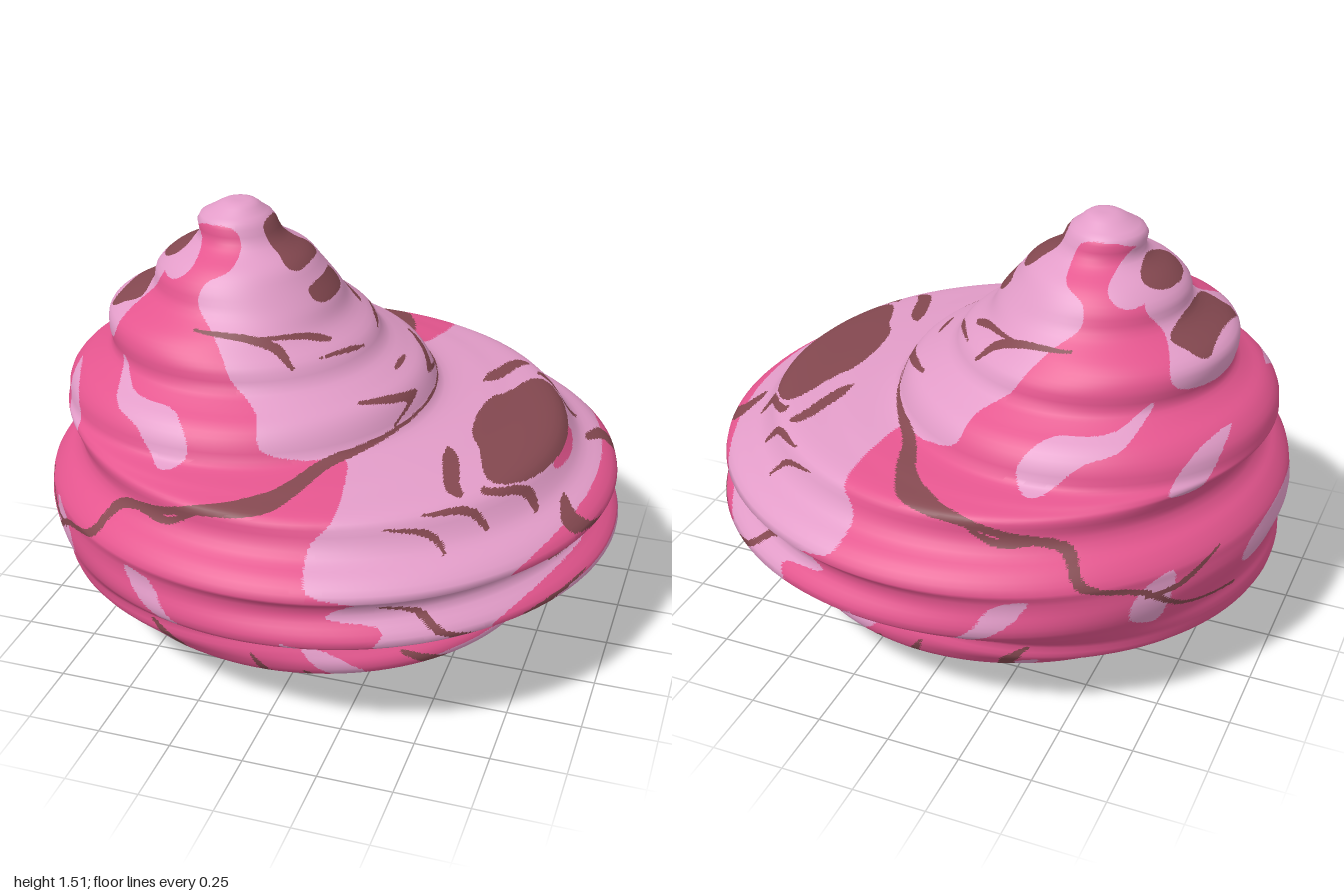
import * as THREE from 'three';

// Horizontal rings of the shell: height, left end and right end on the x axis
const RINGS = [
  [0, -.46, -.21], [.03, -.51, .13], [.065, -.57, .32], [.13, -.69, .6], [.2, -.81, .735],
  [.235, -.86, .73], [.29, -.96, .66], [.33, -.975, .63], [.36, -.975, .7], [.41, -.965, .89],
  [.46, -.975, .995], [.5, -.99, .96], [.54, -1, .91], [.575, -.995, .92], [.615, -.985, .98],
  [.66, -.95, .94], [.7, -.905, .85], [.74, -.885, .815], [.79, -.905, .775], [.825, -.94, .56],
  [.86, -.945, .345], [.9, -.94, .325], [.95, -.9, .29], [.99, -.83, .22], [1.03, -.79, .15],
  [1.08, -.8, .12], [1.14, -.79, .04], [1.22, -.645, -.01], [1.28, -.63, -.06], [1.33, -.58, -.1],
  [1.375, -.5, -.17], [1.4, -.48, -.2], [1.45, -.485, -.225], [1.48, -.44, -.26],
  [1.505, -.395, -.29], [1.508, -.343, -.342],
];

// Pale field over the spire and mouth side
const PALE_FIELD = [
  [-.6, 1.6], [-.5, 1.43], [-.42, 1.45], [-.31, 1.44], [-.29, 1.35], [-.37, 1.3], [-.38, 1.24],
  [-.3, 1.17], [-.24, 1.1], [-.2, 1.04], [-.1, .97], [-.07, .9], [.05, .86], [.17, .85],
  [.23, .81], [.17, .72], [.2, .64], [.34, .6], [.25, .54], [.42, .5], [.4, .44],
  [.58, .37], [.6, .3], [.8, .28], [1.1, .4], [1.1, 1.6],
];

// Pale flecks on the pink side
const PALE_FLECKS = [
  [[-.86, .95], [-.8, .93], [-.75, .82], [-.82, .81]],
  [[-.66, 1.32], [-.54, 1.33], [-.58, 1.24], [-.66, 1.16], [-.7, 1.08], [-.82, 1.05], [-.84, 1.15]],
  [[-.56, 1.45], [-.46, 1.42], [-.43, 1.34], [-.5, 1.29], [-.56, 1.31]],
  [[-.64, 1.05], [-.56, .99], [-.36, .97], [-.3, .9], [-.31, .85], [-.4, .84], [-.49, .92], [-.6, .96]],
  [[-.43, .58], [-.33, .56], [-.27, .48], [-.18, .41], [-.27, .43], [-.39, .51]],
  [[-.8, .61], [-.73, .57], [-.7, .46], [-.75, .41], [-.8, .52]],
  [[-1.02, .62], [-.97, .58], [-.95, .46], [-1.02, .48]],
  [[.12, .46], [.22, .43], [.42, .36], [.3, .36], [.17, .41]],
  [[.12, .3], [.2, .28], [.32, .2], [.22, .2]],
  [[.45, .3], [.8, .31], [.8, .275], [.55, .26]],
  [[.48, .21], [.74, .212], [.74, .195], [.56, .19]],
  [[-.42, .27], [-.36, .25], [-.3, .17], [-.38, .2]],
];

// Pink tongues inside the pale field
const PINK_TONGUES = [
  [[.76, .61], [.88, .665], [1.05, .665], [1.05, .62], [.9, .61]],
  [[.72, .46], [.85, .515], [1.05, .515], [1.05, .48], [.9, .465]],
  [[.79, .77], [.86, .75], [.88, .71], [.8, .745]],
];

// Brown patches: underside, shelf, lip and marks along the two ends
const BROWN_PATCHES = [
  [[-.6, -.1], [-.5, .05], [-.53, .12], [-.42, .07], [-.33, .14], [-.34, .24], [-.4, .33], [-.3, .26],
    [-.26, .14], [-.22, .07], [-.05, .09], [-.01, .17], [-.04, .28], [.02, .2], [.05, .08],
    [.15, .1], [.13, .22], [.2, .15], [.25, .09], [.4, .13], [.48, .19], [.41, .26],
    [.54, .2], [.58, .15], [.7, .18], [.8, .15], [.6, -.1]],
  [[.36, .9], [.38, .854], [.5, .832], [.6, .812], [.7, .787], [.74, .775], [.82, .765], [.82, .82], [.6, .88]],
  [[.83, .545], [.89, .595], [1, .6], [1, .55], [.9, .535]],
  [[.62, .332], [.68, .352], [.8, .38], [.74, .345], [.66, .325]],
  [[.82, .405], [.88, .43], [1, .455], [1, .43], [.9, .395]],
  [[-.237, 1.46], [-.218, 1.4], [-.17, 1.36], [-.1, 1.315], [-.08, 1.34], [-.2, 1.46]],
  [[-.065, 1.265], [-.03, 1.22], [0, 1.21], [0, 1.27]],
  [[-.49, 1.4], [-.5, 1.36], [-.58, 1.315], [-.63, 1.31], [-.58, 1.36]],
  [[-.73, 1.2], [-.65, 1.235], [-.63, 1.2], [-.7, 1.165], [-.76, 1.14]],
  [[.2, 1.02], [.225, .985], [.26, .99], [.24, 1.03]],
];

// Brown veins: half width followed by points along the line
const VEINS = [
  [.014, [-.92, .4], [-.84, .44], [-.74, .555], [-.58, .62], [-.5, .71], [-.34, .75], [-.2, .79],
    [-.08, .805], [.05, .825], [.13, .85], [.22, .86], [.34, .875]],
  [.012, [-.52, .68], [-.46, .73], [-.3, .73], [-.2, .78]],
  [.01, [-.9, .62], [-.82, .55], [-.74, .54]],
  [.01, [-.37, 1.18], [-.2, 1.165], [-.1, 1.13], [-.04, 1.08]],
  [.007, [-.2, 1.165], [-.05, 1.15], [.03, 1.12]],
  [.007, [.17, .97], [.25, .95], [.3, .92], [.28, .88]],
  [.005, [.02, 1.09], [.08, 1.085], [.12, 1.07]],
  [.005, [.46, .83], [.5, .82], [.57, .802]],
  [.009, [.48, .79], [.6, .77], [.66, .71]],
  [.009, [.62, .8], [.73, .76], [.78, .7]],
  [.008, [.38, .77], [.5, .74], [.56, .69]],
  [.009, [.84, .69], [.9, .65], [.96, .61]],
  [.009, [.4, .57], [.5, .54], [.6, .47], [.68, .45]],
  [.008, [.68, .4], [.8, .45], [.94, .475]],
  [.009, [.42, .42], [.55, .37], [.62, .34]],
  [.009, [.52, .32], [.6, .26], [.72, .22]],
];

// Smooth a marking through its points and keep its bounds for quick rejection
function marking(points, closed, width = 0) {
  const flat = points.map(([x, y]) => new THREE.Vector3(x, y, 0));
  const pts = new THREE.CatmullRomCurve3(flat, closed).getPoints(points.length * 5);
  return { pts, width, box: new THREE.Box3().setFromPoints(pts).expandByScalar(width + 0.001) };
}
const patches = (list) => list.map((p) => marking(p, true));

function inside({ pts }, x, y) {
  let hit = false;
  for (let i = 0, j = pts.length - 1; i < pts.length; j = i++) {
    const a = pts[i], b = pts[j];
    if (a.y > y !== b.y > y && x < ((b.x - a.x) * (y - a.y)) / (b.y - a.y) + a.x) hit = !hit;
  }
  return hit;
}

// Veins taper towards both ends
function onVein({ pts, width }, x, y) {
  return pts.some((p, i) => {
    const taper = 0.35 + 0.65 * Math.sin((Math.PI * i) / (pts.length - 1));
    const q = pts[Math.min(i + 1, pts.length - 1)], dx = q.x - p.x, dy = q.y - p.y;
    const t = THREE.MathUtils.clamp(((x - p.x) * dx + (y - p.y) * dy) / (dx * dx + dy * dy || 1), 0, 1);
    return Math.hypot(x - p.x - t * dx, y - p.y - t * dy) < width * taper;
  });
}

// Returns 0 = pink, 1 = pale, 2 = brown; the pattern runs straight through along z
function makePattern() {
  const field = patches([PALE_FIELD]), flecks = patches(PALE_FLECKS);
  const tongues = patches(PINK_TONGUES), browns = patches(BROWN_PATCHES);
  const veins = VEINS.map(([width, ...pts]) => marking(pts, false, width));
  return ({ x, y }) => {
    const hit = (list, test) => list.some((m) => x > m.box.min.x && x < m.box.max.x
      && y > m.box.min.y && y < m.box.max.y && test(m, x, y));
    if (hit(browns, inside) || hit(veins, onVein)) return 2;
    if (hit(tongues, inside)) return 0;
    return hit(field, inside) || hit(flecks, inside) ? 1 : 0;
  };
}

// Loft of circles through the rings
function loftGeometry(rows, sides) {
  const curve = new THREE.CatmullRomCurve3(RINGS.map(([y, l, r]) => new THREE.Vector3(l, y, r)));
  curve.arcLengthDivisions = 2000;
  const pos = [], index = [];
  curve.getSpacedPoints(rows).forEach(({ x: l, y, z: r }, i) => {
    for (let j = 0; j < sides; j++) {
      const t = (j / sides) * Math.PI * 2, rad = (r - l) / 2;
      pos.push((l + r) / 2 + rad * Math.cos(t), y, rad * Math.sin(t));
      const a = i * sides + j, b = i * sides + ((j + 1) % sides);
      if (i < rows) index.push(a, a + sides, b, b, a + sides, b + sides);
    }
  });
  const geo = new THREE.BufferGeometry();
  geo.setAttribute('position', new THREE.Float32BufferAttribute(pos, 3));
  geo.setIndex(index);
  geo.computeVertexNormals();
  return geo;
}

// Sort faces by colour, splitting those that a colour border crosses
function paintedGeometry(base, depth, maxFaces) {
  const colourAt = makePattern();
  const { position, normal } = base.attributes;
  const verts = Array.from({ length: position.count }, (_, i) => ({
    p: new THREE.Vector3().fromBufferAttribute(position, i),
    n: new THREE.Vector3().fromBufferAttribute(normal, i),
  }));
  const middle = (a, b) => ({
    p: a.p.clone().lerp(b.p, 0.5), n: a.n.clone().add(b.n).normalize(),
  });
  const faces = [[], [], []];
  let count = base.index.count / 3;
  const add = (a, b, c, level) => {
    const centre = a.p.clone().add(b.p).add(c.p).divideScalar(3);
    const colour = colourAt(centre);
    if (level > 0 && count < maxFaces) {
      const ab = middle(a, b), bc = middle(b, c), ca = middle(c, a);
      if ([a, b, c, ab, bc, ca].some((v) => colourAt(v.p) !== colour)) {
        count += 3;
        add(a, ab, ca, level - 1);
        add(ab, b, bc, level - 1);
        add(ca, bc, c, level - 1);
        add(ab, bc, ca, level - 1);
        return;
      }
    }
    faces[colour].push(a, b, c);
  };
  const id = base.index.array;
  for (let i = 0; i < id.length; i += 3) add(verts[id[i]], verts[id[i + 1]], verts[id[i + 2]], depth);

  const all = faces.flat(), geo = new THREE.BufferGeometry();
  geo.setAttribute('position', new THREE.Float32BufferAttribute(all.flatMap((v) => v.p.toArray()), 3));
  geo.setAttribute('normal', new THREE.Float32BufferAttribute(all.flatMap((v) => v.n.toArray()), 3));
  let start = 0;
  faces.forEach((f, m) => { geo.addGroup(start, f.length, m); start += f.length; });
  return geo;
}

export function createModel() {
  const material = (name, color) => Object.assign(new THREE.MeshStandardMaterial({ color }), { name });
  const pink = material('pink', 0xe4558e);
  const pale = material('pale pink', 0xe29cc8);
  const brown = material('brown', 0x844850);
  const group = new THREE.Group();
  group.name = 'spiralShell';

  const shell = new THREE.Mesh(paintedGeometry(loftGeometry(150, 120), 2, 145000), [pink, pale, brown]);
  shell.name = 'shell';

  // Flat disc closing the underside
  const base = new THREE.Mesh(new THREE.CircleGeometry(0.125, 48).rotateX(Math.PI / 2), pink);
  base.name = 'baseDisc';
  base.position.x = -0.335;

  group.add(shell, base);
  return group;
}
